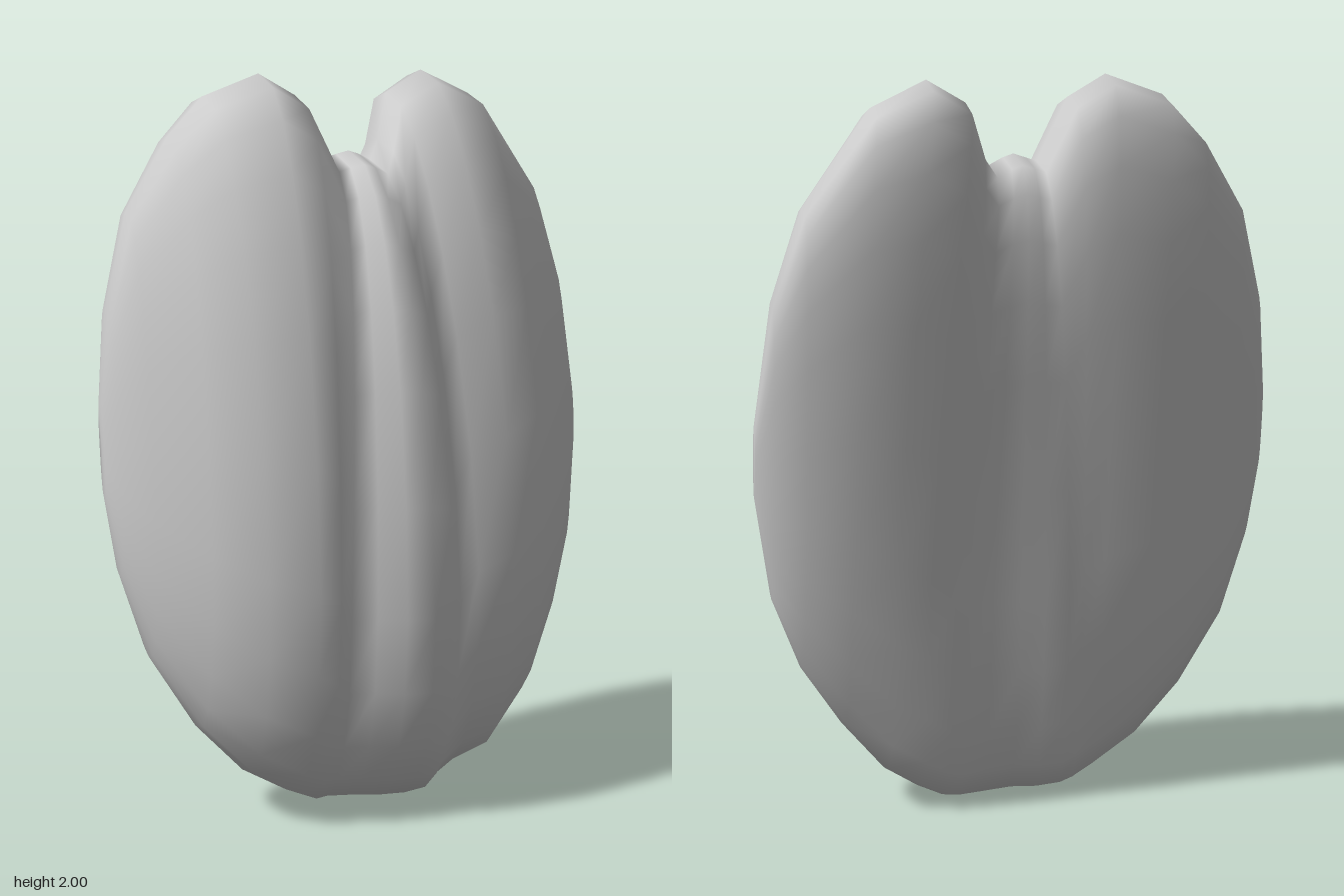
import * as THREE from 'three';

// Stations across the body: [x, x at the top, top y, bottom y, front z, back z]
const STATIONS = [
  // left-hand lobe
  [-0.715, -0.715, 1.15, 0.90, -0.04, -0.09],
  [-0.69, -0.69, 1.40, 0.70, 0.03, -0.11],
  [-0.62, -0.62, 1.65, 0.47, 0.10, -0.15],
  [-0.50, -0.50, 1.84, 0.27, 0.21, -0.20],
  [-0.37, -0.40, 1.945, 0.13, 0.29, -0.23],
  [-0.24, -0.24, 2.00, 0.05, 0.31, -0.245],
  [-0.18, -0.14, 1.94, 0.02, 0.295, -0.245],
  // groove, central ridge, groove
  [-0.14, -0.06, 1.77, 0.015, 0.26, -0.255],
  [-0.07, -0.03, 1.78, 0.01, 0.27, -0.265],
  [0.00, 0.00, 1.79, 0.01, 0.31, -0.27],
  [0.08, 0.03, 1.78, 0.005, 0.31, -0.28],
  [0.15, 0.07, 1.76, 0.005, 0.285, -0.295],
  [0.19, 0.11, 1.81, 0.015, 0.215, -0.305],
  // right-hand lobe
  [0.26, 0.155, 1.93, 0.05, 0.18, -0.325],
  [0.35, 0.26, 1.99, 0.10, 0.215, -0.34],
  [0.47, 0.41, 1.92, 0.24, 0.14, -0.35],
  [0.59, 0.59, 1.67, 0.42, -0.02, -0.33],
  [0.67, 0.67, 1.43, 0.62, -0.13, -0.29],
  [0.715, 0.715, 1.10, 0.90, -0.20, -0.25],
];
const SEGMENTS = 24;

const power = (v, p) => Math.sign(v) * Math.abs(v) ** p;
// The body curves backwards towards the top and tucks under at the foot
const lean = (y) => 0.09 - 0.12 * Math.max(0, y - 0.5) ** 1.7 - 0.5 * Math.max(0, 0.35 - y) ** 2;

// Rounded upright loop at one station, running top, front, bottom, back; the foot is more tapered
function sectionPoint([x, xTop, top, bottom, front, back], angle) {
  const cos = Math.cos(angle);
  const y = (top + bottom) / 2 + ((top - bottom) / 2) * power(cos, 0.8);
  const roundness = cos > 0 ? 0.62 : 0.75;
  const z = (front + back) / 2 + ((front - back) / 2) * power(Math.sin(angle), roundness);
  const k = Math.max(0, (y - 0.5) / (top - 0.5)) ** 1.6;
  return [x + (xTop - x) * k, y, z + lean(y)];
}

function bodyGeometry() {
  const positions = [];
  const index = [];
  const last = STATIONS.length - 1;
  for (const station of STATIONS) {
    for (let j = 0; j < SEGMENTS; j++) {
      positions.push(...sectionPoint(station, (j / SEGMENTS) * Math.PI * 2));
    }
  }
  // Skin between neighbouring loops
  for (let i = 0; i < last; i++) {
    for (let j = 0; j < SEGMENTS; j++) {
      const a = i * SEGMENTS + j, b = i * SEGMENTS + ((j + 1) % SEGMENTS);
      const c = a + SEGMENTS, d = b + SEGMENTS;
      index.push(a, b, c, b, d, c);
    }
  }
  // Close both sides
  for (const i of [0, last]) {
    const [x, , top, bottom, front, back] = STATIONS[i];
    const y = (top + bottom) / 2;
    const centre = positions.length / 3;
    positions.push(x, y, (front + back) / 2 + lean(y));
    for (let j = 0; j < SEGMENTS; j++) {
      const a = i * SEGMENTS + j, b = i * SEGMENTS + ((j + 1) % SEGMENTS);
      if (i === 0) index.push(centre, b, a);
      else index.push(centre, a, b);
    }
  }
  const geometry = new THREE.BufferGeometry();
  geometry.setAttribute('position', new THREE.Float32BufferAttribute(positions, 3));
  geometry.setIndex(index);
  geometry.computeVertexNormals();
  return geometry;
}

export function createModel() {
  const group = new THREE.Group();
  group.name = 'lobedBody';
  const body = new THREE.Mesh(bodyGeometry(), new THREE.MeshStandardMaterial({ color: 0xcccccc }));
  body.name = 'body';
  group.add(body);
  return group;
}
